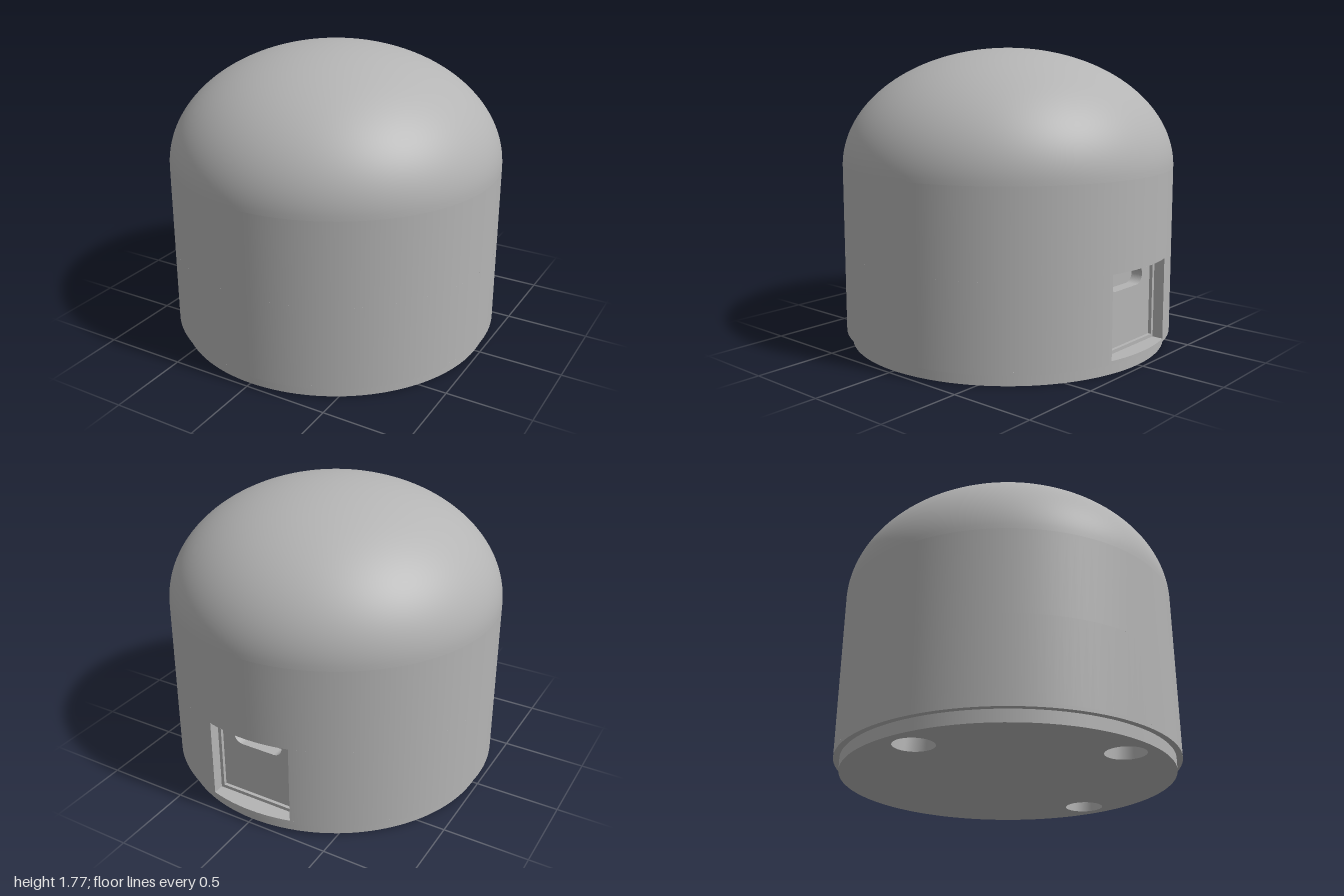
import * as THREE from 'three';
import { toCreasedNormals } from 'three/addons/utils/BufferGeometryUtils.js';

const SEG = 128;
const BASE_R = 0.965, BASE_H = 0.07, WALL_TOP = 1.07, TOP = 1.77;
// rear recess
const W = 0.26, Y0 = 0.09, Y1 = 0.57, FRAME = 0.9, PANEL = 0.88;
const ANGLE = Math.asin(W);

export function createModel() {
  const group = new THREE.Group();
  const grey = new THREE.MeshStandardMaterial({ color: 0xb4b4b4, side: THREE.DoubleSide });
  grey.name = 'plain grey';

  const add = (name, geometry, x = 0, y = 0, z = 0) => {
    const mesh = new THREE.Mesh(geometry, grey);
    mesh.name = name;
    mesh.position.set(x, y, z);
    group.add(mesh);
    return mesh;
  };
  const band = (name, r, y0, y1, start = 0, length = Math.PI * 2) =>
    add(name, new THREE.CylinderGeometry(r, r, y1 - y0, SEG, 1, true, start, length), 0, (y0 + y1) / 2, 0);

  // Domed cap: half ellipse turned about the axis
  const profile = [];
  for (let i = 0; i <= 40; i++) {
    const t = (i / 40) * Math.PI / 2;
    profile.push(new THREE.Vector2(i === 40 ? 0 : Math.cos(t), WALL_TOP + (TOP - WALL_TOP) * Math.sin(t)));
  }
  add('dome', new THREE.LatheGeometry(profile, SEG));

  // Cylindrical wall, open at the rear recess
  band('lowerWall', 1, BASE_H, Y0);
  band('recessWall', 1, Y0, Y1, Math.PI + ANGLE, 2 * (Math.PI - ANGLE));
  band('upperWall', 1, Y1, WALL_TOP);

  // Stepped-in base
  add('rimUnderside', new THREE.RingGeometry(BASE_R, 1, SEG).rotateX(Math.PI / 2), 0, BASE_H, 0);
  band('baseRim', BASE_R, 0, BASE_H);

  // Underside with three counterbored screw holes
  const holes = [[0.79, 0], [0, 0.79], [-0.79, 0]];
  const disc = new THREE.Shape().absarc(0, 0, BASE_R, 0, Math.PI * 2);
  for (const [x, z] of holes) {
    disc.holes.push(new THREE.Path().absarc(x, z, 0.115, 0, Math.PI * 2, true));
  }
  add('underside', new THREE.ShapeGeometry(disc, 64).rotateX(Math.PI / 2));
  const bore = [[0.115, 0], [0.115, 0.085], [0.065, 0.085], [0.065, 0.3], [0, 0.3]]
    .map(([r, y]) => new THREE.Vector2(r, y));
  for (const [x, z] of holes) {
    add('screwHole', toCreasedNormals(new THREE.LatheGeometry(bore, 48), 0.6), x, 0, z);
  }

  // Recess floor, ceiling and sides
  const segment = new THREE.Shape();
  segment.absarc(0, 0, 1, Math.PI / 2 - ANGLE, Math.PI / 2 + ANGLE);
  segment.lineTo(-W, FRAME);
  segment.lineTo(W, FRAME);
  const floor = new THREE.ShapeGeometry(segment, 24).rotateX(-Math.PI / 2);
  add('recessFloor', floor, 0, Y0, 0);
  add('recessCeiling', floor.clone().rotateZ(Math.PI), 0, Y1, 0);
  const edge = Math.cos(ANGLE);
  for (const s of [-1, 1]) {
    const side = new THREE.PlaneGeometry(edge - FRAME, Y1 - Y0).rotateY(-s * Math.PI / 2);
    add('recessSide', side, s * W, (Y0 + Y1) / 2, -(edge + FRAME) / 2);
  }

  // Recess back: narrow frame, panel with rounded slot, slot bottom
  const rect = (w, y0, y1) => new THREE.Shape([[-w, y0], [w, y0], [w, y1], [-w, y1]]
    .map(([x, y]) => new THREE.Vector2(x, y)));
  const plate = (name, hole, front, depth) => {
    const shape = rect(W, Y0, Y1);
    if (hole) shape.holes.push(hole);
    add(name, new THREE.ExtrudeGeometry(shape, { depth, bevelEnabled: false, curveSegments: 16 }), 0, 0, -front);
  };
  const slot = new THREE.Path();
  slot.absarc(0.105, 0.485, 0.055, -Math.PI / 2, Math.PI / 2);
  slot.absarc(-0.105, 0.485, 0.055, Math.PI / 2, Math.PI * 1.5);
  slot.closePath();
  plate('recessFrame', rect(W - 0.02, Y0 + 0.02, Y1 - 0.02), FRAME, FRAME - PANEL);
  plate('recessPanel', slot, PANEL, 0.07);
  plate('slotBottom', null, PANEL - 0.07, 0.02);

  return group;
}
